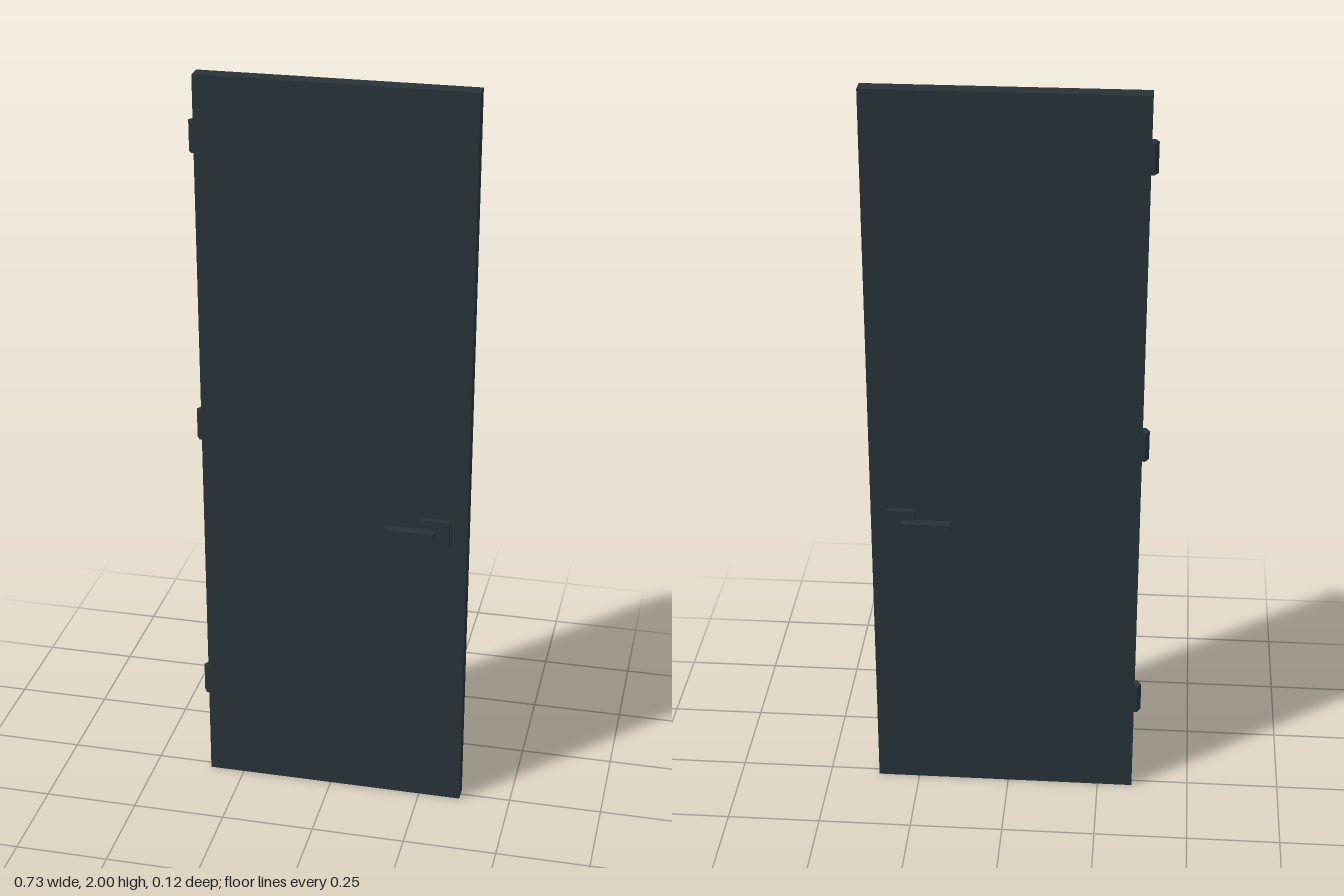
import * as THREE from 'three';

export function createModel() {
  const group = new THREE.Group();
  group.name = 'door';

  const slate = new THREE.MeshStandardMaterial({ color: 0x263238, flatShading: true });
  slate.name = 'dark slate';

  const add = (name, geometry, x, y, z) => {
    const mesh = new THREE.Mesh(geometry, slate);
    mesh.name = name;
    mesh.position.set(x, y, z);
    group.add(mesh);
  };

  // Plain door leaf
  add('doorLeaf', new THREE.BoxGeometry(0.708, 2, 0.0448), 0.009, 1, 0);

  // Three six-sided hinge barrels, one corner pointing outwards
  const hinge = new THREE.CylinderGeometry(0.02, 0.02, 0.08, 6).rotateY(Math.PI / 2);
  [0.283, 1.06, 1.84].forEach((y) => add('hinge', hinge, -0.343, y, 0));

  // Square plate and lever on both faces
  const plate = new THREE.BoxGeometry(0.073, 0.073, 0.0155);
  const lever = new THREE.BoxGeometry(0.13, 0.024, 0.0244);
  for (const [side, s] of [['front', 1], ['back', -1]]) {
    add(side + 'HandlePlate', plate, 0.2815, 0.822, s * 0.0298);
    add(side + 'HandleLever', lever, 0.215, 0.82, s * 0.0472);
  }

  return group;
}
